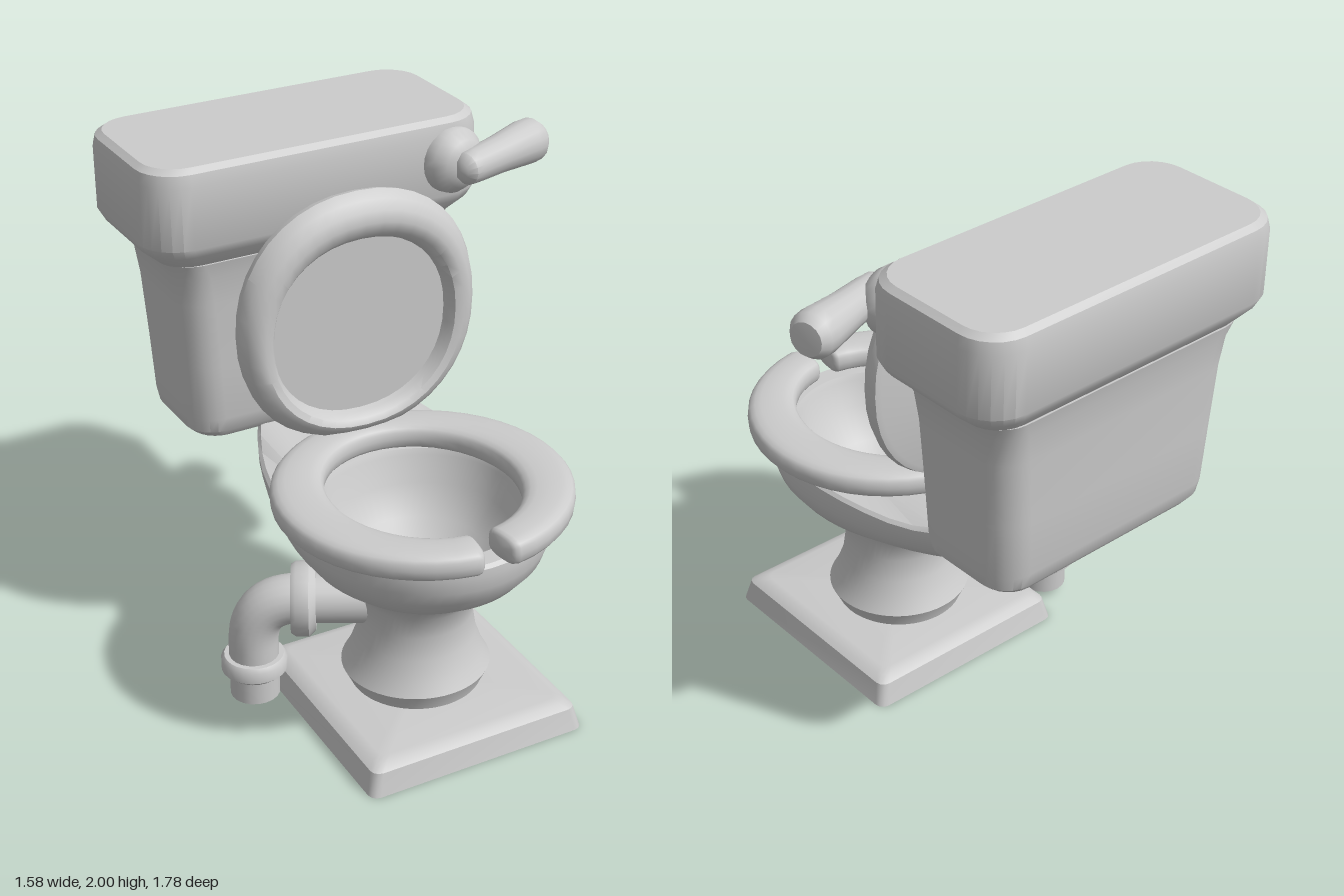
import * as THREE from 'three';
import { toCreasedNormals } from 'three/addons/utils/BufferGeometryUtils.js';

const V = (x, y, z) => new THREE.Vector3(x, y, z);
const grey = new THREE.MeshStandardMaterial({ color: 0xcccccc, side: THREE.DoubleSide });

// Skin a stack of equal rings; rings run counterclockwise seen from the end of the stack.
function loft(rings, capStart = true, capEnd = true, crease = 0.6) {
  const n = rings[0].length, pos = [], index = [];
  rings.forEach(r => r.forEach(p => pos.push(p.x, p.y, p.z)));
  for (let k = 0; k < rings.length - 1; k++) {
    for (let i = 0; i < n; i++) {
      const a = k * n + i, b = k * n + (i + 1) % n;
      index.push(a, b, b + n, a, b + n, a + n);
    }
  }
  const cap = (k, flip) => {
    const c = rings[k].reduce((s, p) => s.add(p), V(0, 0, 0)).divideScalar(n);
    const ci = pos.length / 3;
    pos.push(c.x, c.y, c.z);
    for (let i = 0; i < n; i++) {
      const a = k * n + i, b = k * n + (i + 1) % n;
      index.push(ci, flip ? b : a, flip ? a : b);
    }
  };
  if (capStart) cap(0, true);
  if (capEnd) cap(rings.length - 1, false);
  const g = new THREE.BufferGeometry();
  g.setAttribute('position', new THREE.Float32BufferAttribute(pos, 3));
  g.setIndex(index);
  return toCreasedNormals(g, crease);
}

// Horizontal rounded rectangle with half sizes hx, hz and corner radius r
function rectRing(y, hx, hz, r, seg = 6) {
  const pts = [];
  for (let q = 0; q < 4; q++) {
    const sx = q === 0 || q === 3 ? 1 : -1, sz = q < 2 ? -1 : 1;
    for (let i = 0; i <= seg; i++) {
      const a = (q + i / seg) * Math.PI / 2;
      pts.push(V(sx * (hx - r) + r * Math.cos(a), y, sz * (hz - r) - r * Math.sin(a)));
    }
  }
  return pts;
}

// Horizontal egg with half width w, front reach f and back reach b; a long back narrows to a neck
function eggRing(y, w, f, b, rise = 0) {
  const pts = [], n = 56;
  const pinch = 1 + 0.4 * THREE.MathUtils.clamp(b / w - 1, 0, 1);
  for (let i = 0; i < n; i++) {
    const a = i / n * Math.PI * 2, c = Math.cos(a), s = Math.sin(a);
    const x = s > 0 ? Math.sign(c) * Math.abs(c) ** pinch : c;
    const z = -s * (s > 0 ? b : f);
    pts.push(V(x * w, y + rise * THREE.MathUtils.smoothstep(-z, 0.45, 0.75), z));
  }
  return pts;
}

const soft = (v, e) => Math.sign(v) * Math.abs(v) ** e;

export function createModel() {
  const model = new THREE.Group();
  const add = (name, geometry, x = 0, y = 0, z = 0) => {
    const m = new THREE.Mesh(geometry, grey);
    m.name = name;
    m.position.set(x, y, z);
    model.add(m);
    return m;
  };

  // Hollow floor plate
  add('basePlate', loft([
    [0, 0.435, 0.45], [0.085, 0.415, 0.43], [0.105, 0.39, 0.405], [0.112, 0.36, 0.375],
  ].map(([y, hx, hz]) => rectRing(y, hx, hz, 0.035, 3)), false, true), -0.055, 0, 0.32);

  // Pedestal, bowl and rear neck in one skin: up the outside, over the rim, down into the basin
  add('bowl', loft([
    [0.09, 0.24, 0.24, 0.24], [0.115, 0.245, 0.245, 0.245], [0.175, 0.275, 0.27, 0.27],
    [0.22, 0.25, 0.245, 0.245], [0.3, 0.222, 0.215, 0.215], [0.39, 0.207, 0.205, 0.2],
    [0.48, 0.212, 0.225, 0.23], [0.54, 0.24, 0.265, 0.27], [0.6, 0.33, 0.37, 0.39],
    [0.65, 0.39, 0.44, 0.53], [0.715, 0.438, 0.495, 0.77], [0.77, 0.455, 0.515, 0.91],
    [0.825, 0.458, 0.52, 0.99, 0.02], [0.85, 0.457, 0.518, 1.0, 0.04],
    [0.862, 0.445, 0.505, 0.98, 0.05],
    [0.862, 0.365, 0.435, 0.33], [0.84, 0.355, 0.425, 0.32], [0.74, 0.325, 0.39, 0.29],
    [0.63, 0.25, 0.3, 0.23], [0.56, 0.15, 0.18, 0.15], [0.53, 0.06, 0.07, 0.06],
  ].map(r => eggRing(...r))), -0.057, 0, 0.3);

  // Open-fronted seat: a soft flat section swept round, with rounded ends at the gap
  const seatRing = (t, k) => {
    const pts = [];
    for (let i = 0; i < 20; i++) {
      const a = i / 20 * Math.PI * 2;
      const s = soft(Math.cos(a), 0.7) * k, h = soft(Math.sin(a), 0.6) * 0.052 * k;
      pts.push(V((0.435 + 0.1 * s) * Math.cos(t), h, (0.452 + 0.077 * s) * Math.sin(t)));
    }
    return pts;
  };
  const seatRings = [], gap = 0.1, from = Math.PI / 2 + gap, sweep = Math.PI * 2 - 2 * gap;
  seatRings.push(seatRing(from, 0.75), seatRing(from + 0.02, 0.93));
  for (let i = 0; i <= 44; i++) seatRings.push(seatRing(from + 0.05 + (sweep - 0.1) * i / 44, 1));
  seatRings.push(seatRing(from + sweep - 0.02, 0.93), seatRing(from + sweep, 0.75));
  add('seat', loft(seatRings, true, true, 0.9), -0.068, 0.917, 0.362);

  // Raised lid with a thick rim round a recessed panel
  const lidRing = ([z, rx, ry, cy]) => Array.from({ length: 40 }, (_, i) => {
    const a = i / 40 * Math.PI * 2;
    return V(rx * soft(Math.cos(a), 0.92), cy + ry * soft(Math.sin(a), 0.92), z);
  });
  add('lid', loft([
    [-0.15, 0.44, 0.44, 1.4], [-0.143, 0.462, 0.46, 1.4], [-0.11, 0.468, 0.47, 1.4],
    [-0.07, 0.45, 0.45, 1.395], [-0.045, 0.425, 0.42, 1.39], [-0.035, 0.395, 0.39, 1.38],
    [-0.045, 0.365, 0.358, 1.37], [-0.075, 0.348, 0.338, 1.365], [-0.095, 0.343, 0.332, 1.365],
  ].map(lidRing), true, true, 0.7), -0.07, 0, 0);

  // Tank with its overhanging cover
  const tank = new THREE.Group();
  tank.name = 'tank';
  tank.position.set(-0.115, 0, -0.567);
  tank.rotation.y = 0.015;
  model.add(tank);
  const body = add('tankBody', loft([
    [0.885, 0.42, 0.16, 0.08], [0.895, 0.465, 0.195, 0.1], [0.925, 0.495, 0.217, 0.11],
    [0.98, 0.506, 0.228, 0.12], [1.2, 0.518, 0.235, 0.12], [1.45, 0.535, 0.242, 0.12],
    [1.56, 0.55, 0.25, 0.12], [1.62, 0.575, 0.262, 0.12],
  ].map(r => rectRing(...r))));
  const cover = add('tankCover', loft([
    [1.615, 0.58, 0.25, 0.12], [1.675, 0.645, 0.3, 0.14], [1.71, 0.664, 0.316, 0.15],
    [1.94, 0.664, 0.316, 0.15], [1.982, 0.655, 0.306, 0.145], [2, 0.632, 0.284, 0.13],
  ].map(r => rectRing(...r)), true, true, 0.55));
  tank.add(body, cover);

  // Flush handle: a round boss and a thickening lever
  const lathe = (pts, seg = 24) =>
    toCreasedNormals(new THREE.LatheGeometry(pts.map(p => new THREE.Vector2(...p)), seg), 0.7);
  const aim = (mesh, dir) => mesh.quaternion.setFromUnitVectors(V(0, 1, 0), dir.normalize());
  aim(add('handleBoss', lathe([
    [0, -0.06], [0.115, -0.06], [0.125, -0.02], [0.12, 0.02], [0.09, 0.06], [0.05, 0.078], [0, 0.08],
  ]), 0.405, 1.843, -0.262), V(0.25, 0, 1));
  aim(add('handleLever', lathe([
    [0, -0.03], [0.035, -0.025], [0.06, 0], [0.064, 0.04], [0.07, 0.18], [0.084, 0.33],
    [0.082, 0.37], [0.06, 0.4], [0, 0.405],
  ], 16), 0.4, 1.84, -0.168), V(0.34, 0.01, -0.115));

  // Waste pipe: up from the floor, round an elbow and into the pedestal
  const foot = V(-0.59, 0.04, 0.04), bendA = V(-0.59, 0.26, 0.04), corner = V(-0.59, 0.445, 0.04);
  const bendB = V(-0.44, 0.445, 0.12), wall = V(-0.15, 0.445, 0.275);
  const path = new THREE.CurvePath();
  path.add(new THREE.LineCurve3(foot, bendA));
  path.add(new THREE.QuadraticBezierCurve3(bendA, corner, bendB));
  path.add(new THREE.LineCurve3(bendB, wall));
  add('pipe', new THREE.TubeGeometry(path, 40, 0.092, 20));
  const pipeEnd = add('pipeEnd', new THREE.CircleGeometry(0.092, 20), foot.x, foot.y, foot.z);
  pipeEnd.rotation.x = Math.PI / 2;

  // Pipe collars
  const collar = (r, h) => lathe([
    [0.08, -h], [r - 0.025, -h], [r, -h * 0.45], [r, h * 0.6], [r - 0.012, h], [0.08, h],
  ]);
  add('lowerCollar', collar(0.122, 0.04), -0.59, 0.17, 0.04);
  aim(add('wallCollar', collar(0.138, 0.045), -0.425, 0.443, 0.128), V(-0.29, 0, -0.155));

  return model;
}
